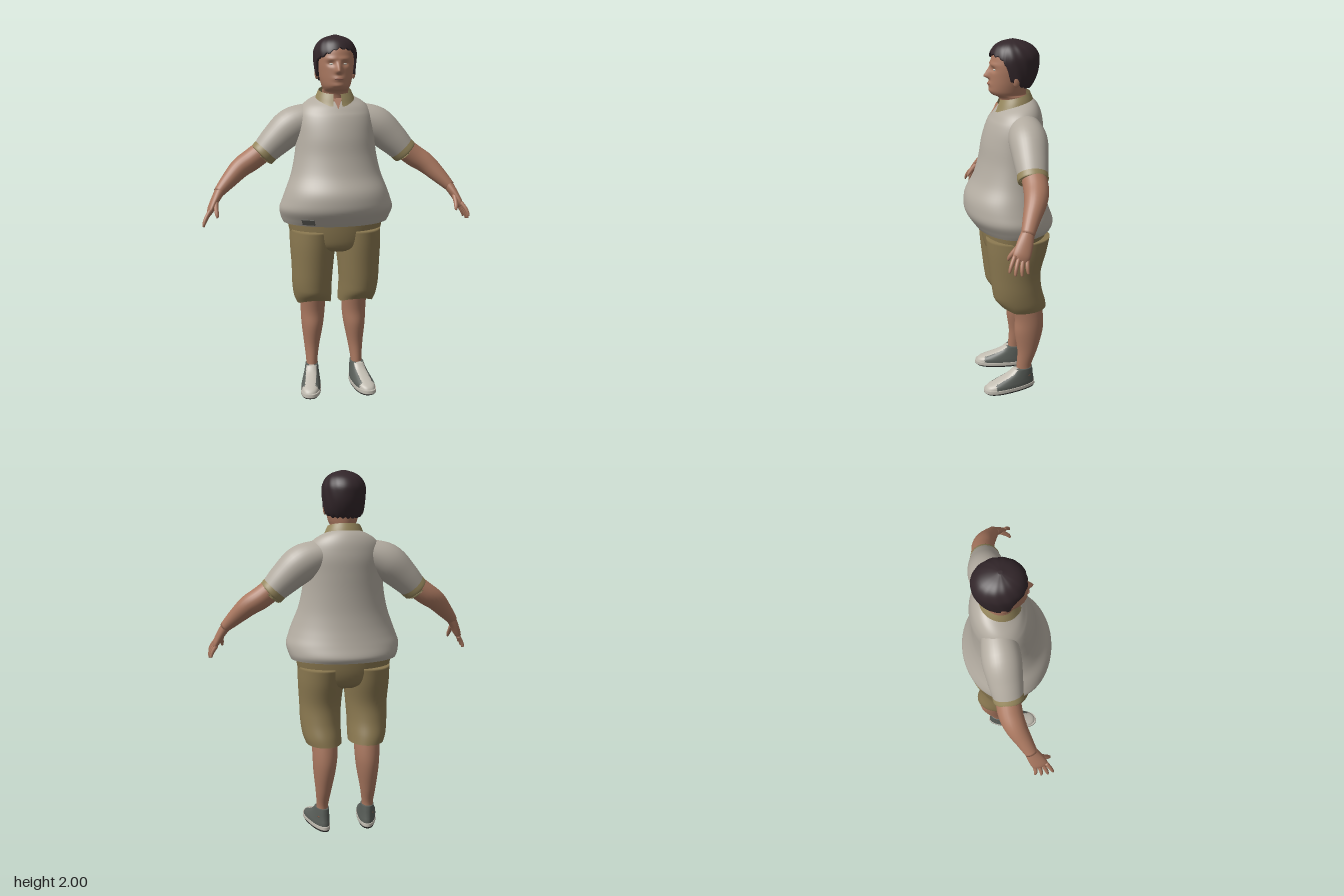
import * as THREE from 'three';

const material = (name, color, side = THREE.FrontSide) => {
  const m = new THREE.MeshStandardMaterial({ color, side });
  m.name = name;
  return m;
};

// Smooth interpolation through rows of numbers, u in 0..1
function sample(rows, u) {
  const f = Math.min(Math.max(u, 0), 1) * (rows.length - 1);
  const i = Math.min(Math.floor(f), rows.length - 2), t = f - i;
  const row = (k) => rows[Math.min(Math.max(k, 0), rows.length - 1)];
  return rows[i].map((b, k) => {
    const a = row(i - 1)[k], c = row(i + 1)[k], d = row(i + 2)[k];
    return b + 0.5 * t * (c - a + t * (2 * a - 5 * b + 4 * c - d + t * (3 * (b - c) + d - a)));
  });
}

// Joins rings of points (bottom to top, or along a path) into one smooth surface
function skin(rings, { closed = true, capStart = true, capEnd = true } = {}) {
  const n = rings[0].length, pos = [], index = [];
  rings.forEach((r) => r.forEach((p) => pos.push(p.x, p.y, p.z)));
  for (let i = 0; i < rings.length - 1; i++) {
    for (let j = 0; j < (closed ? n : n - 1); j++) {
      const a = i * n + j, b = i * n + (j + 1) % n;
      index.push(a, b, a + n, b, b + n, a + n);
    }
  }
  const cap = (ring, start, flip) => {
    const c = ring.reduce((s, p) => s.add(p), new THREE.Vector3()).divideScalar(n);
    const k = pos.length / 3;
    pos.push(c.x, c.y, c.z);
    for (let j = 0; j < n; j++) {
      const a = start + j, b = start + (j + 1) % n;
      index.push(...(flip ? [k, b, a] : [k, a, b]));
    }
  };
  if (closed && capStart) cap(rings[0], 0, true);
  if (closed && capEnd) cap(rings[rings.length - 1], (rings.length - 1) * n, false);
  const g = new THREE.BufferGeometry();
  g.setAttribute('position', new THREE.Float32BufferAttribute(pos, 3));
  g.setIndex(index);
  g.computeVertexNormals();
  return g;
}

// Level rings; rows are [y, centre x, half width, front z, back z]
function level(rows, o = {}) {
  const { segs = 48, steps = 5, pow = 1, gap = 0, warp } = o;
  const n = (rows.length - 1) * steps, rings = [];
  const bend = (v) => Math.sign(v) * Math.abs(v) ** pow;
  for (let i = 0; i <= n; i++) {
    const [y, cx, rx, zf, zb] = sample(rows, i / n), ring = [];
    for (let j = 0; j < segs; j++) {
      const a = gap ? gap + (2 * Math.PI - 2 * gap) * j / (segs - 1) : 2 * Math.PI * j / segs;
      const p = new THREE.Vector3(cx + rx * bend(Math.sin(a)), y, (zf + zb) / 2 + (zf - zb) / 2 * bend(Math.cos(a)));
      if (warp) warp(p);
      ring.push(p);
    }
    rings.push(ring);
  }
  return skin(rings, { closed: !gap, ...o });
}

// Limb along a path; rows are [x, y, z, radius across, radius towards z]
function limb(rows, o = {}) {
  const { segs = 24, steps = 5 } = o, n = (rows.length - 1) * steps, rings = [];
  const at = (u) => new THREE.Vector3(...sample(rows, u).slice(0, 3));
  for (let i = 0; i <= n; i++) {
    const u = i / n, row = sample(rows, u), c = at(u);
    const T = at(Math.min(u + 0.02, 1)).sub(at(Math.max(u - 0.02, 0))).normalize();
    const B = T.clone().cross(new THREE.Vector3(0, 0, 1)).normalize(), N = B.clone().cross(T);
    rings.push(Array.from({ length: segs }, (_, j) => {
      const a = 2 * Math.PI * j / segs;
      return c.clone().addScaledVector(B, row[3] * Math.sin(a)).addScaledVector(N, row[4] * Math.cos(a));
    }));
  }
  return skin(rings, o);
}

function mirrored(g) {
  const m = g.clone().scale(-1, 1, 1), ix = m.index.array;
  for (let i = 0; i < ix.length; i += 3) [ix[i], ix[i + 1]] = [ix[i + 1], ix[i]];
  return m;
}

// Splits faces into two material groups by a test on the face centre
function splitFaces(g, test) {
  const p = g.attributes.position, ix = g.index.array, sets = [[], []];
  for (let i = 0; i < ix.length; i += 3) {
    const f = [ix[i], ix[i + 1], ix[i + 2]];
    const mid = (get) => f.reduce((s, k) => s + p[get](k), 0) / 3;
    sets[test(mid('getX'), mid('getY'), mid('getZ')) ? 1 : 0].push(...f);
  }
  g.setIndex(sets.flat());
  g.addGroup(0, sets[0].length, 0);
  g.addGroup(sets[0].length, sets[1].length, 1);
  return g;
}

const bump = (v, centre, width) => Math.exp(-(((v - centre) / width) ** 2));

// Nose, eye sockets, brows and lips pushed out of the face
function faceWarp(p) {
  if (p.z < 0.04 || p.y < 1.73) return;
  const up = p.y - 1.812, ax = Math.abs(p.x);
  const nose = Math.max(0, up > 0 ? 1 - up / 0.055 : 1 + up / 0.018);
  p.z += 0.033 * nose * bump(p.x, 0, 0.015) - 0.011 * bump(ax, 0.037, 0.02) * bump(p.y, 1.85, 0.013)
    + 0.005 * bump(p.y, 1.876, 0.01) * bump(ax, 0.035, 0.03) + 0.008 * bump(p.y, 1.772, 0.013) * bump(p.x, 0, 0.028)
    + 0.004 * bump(p.y, 1.737, 0.012) * bump(p.x, 0, 0.03);
}

// Hair shell with a hairline that drops from the fringe to the nape
function hairGeometry() {
  const rows = [[1.73, 0.08, 0.06, -0.105], [1.78, 0.105, 0.09, -0.138], [1.83, 0.113, 0.1, -0.158], [1.88, 0.117, 0.105, -0.165],
    [1.92, 0.114, 0.1, -0.162], [1.96, 0.094, 0.078, -0.135], [1.985, 0.06, 0.042, -0.09], [2.0, 0.01, -0.015, -0.035]];
  const line = [[0, 1.93], [0.6, 1.91], [0.95, 1.893], [1.15, 1.865], [1.3, 1.795], [1.6, 1.775], [2.2, 1.757], [3.2, 1.752]];
  const rowAt = (y) => {
    let lo = 0, hi = 1;
    for (let k = 0; k < 24; k++) { const m = (lo + hi) / 2; if (sample(rows, m)[0] < y) lo = m; else hi = m; }
    return sample(rows, lo);
  };
  const edge = (a) => {
    const b = Math.abs(a), k = Math.max(1, line.findIndex((l) => l[0] >= b)), [p, q] = [line[k - 1], line[k]];
    const fringe = b < 1 ? 0.016 * Math.sin(a * 1.5) : 0;
    return p[1] + (q[1] - p[1]) * (b - p[0]) / (q[0] - p[0]) + fringe + 0.005 * Math.sin(a * 19);
  };
  const N = 26, segs = 96, rings = [];
  for (let i = -1; i <= N; i++) {
    const t = Math.max(i, 0) / N, s = i < 0 ? 0.84 : 1;
    rings.push(Array.from({ length: segs }, (_, j) => {
      const a = 2 * Math.PI * j / segs - Math.PI, e = edge(a), y = e + (2 - e) * (1 - (1 - t) ** 2);
      const [, rx, zf, zb] = rowAt(y), tuft = 1 + 0.012 * Math.sin(a * 14 + y * 40);
      return new THREE.Vector3(rx * s * tuft * Math.sin(a), y, (zf + zb) / 2 + (zf - zb) / 2 * s * Math.cos(a));
    }));
  }
  return skin(rings, { capStart: false });
}

export function createModel() {
  const model = new THREE.Group();
  model.name = 'standingMan';
  const D = THREE.DoubleSide;
  const skinMat = material('skin', 0xaa7860), hairMat = material('hair', 0x32262a, D), shirtMat = material('shirt', 0xb2aba0, D);
  const tanMat = material('tanTrim', 0x95865c, D), shortsMat = material('shorts', 0x8a7850, D), shoeMat = material('shoeGrey', 0x5a5f5a);
  const whiteMat = material('shoeWhite', 0xc2bdb2), darkMat = material('outsole', 0x2c2c2c), lipMat = material('lips', 0x8f5f50);
  const tagMat = material('hemTag', 0x5c5b56);
  const add = (name, g, m) => {
    const mesh = new THREE.Mesh(g, m);
    mesh.name = name;
    model.add(mesh);
    return mesh;
  };
  const pair = (name, g, m) => { add(name + 'Left', g, m); add(name + 'Right', mirrored(g), m); };

  // Head and neck
  add('head', level([[1.6, 0, 0.075, 0.04, -0.11], [1.68, 0, 0.07, 0.045, -0.105], [1.705, 0, 0.071, 0.06, -0.1],
    [1.715, 0, 0.07, 0.086, -0.095], [1.735, 0, 0.078, 0.1, -0.097], [1.77, 0, 0.087, 0.101, -0.102], [1.81, 0, 0.094, 0.1, -0.115],
    [1.85, 0, 0.1, 0.098, -0.13], [1.89, 0, 0.103, 0.092, -0.14], [1.93, 0, 0.098, 0.078, -0.14], [1.965, 0, 0.072, 0.04, -0.11],
    [1.985, 0, 0.025, -0.01, -0.06]], { segs: 120, steps: 7, warp: faceWarp }), skinMat);
  add('hair', hairGeometry(), hairMat);
  pair('ear', new THREE.SphereGeometry(1, 16, 12).scale(0.012, 0.034, 0.02).translate(0.1, 1.8, -0.025), skinMat);
  pair('eye', new THREE.SphereGeometry(1, 16, 10).scale(0.013, 0.0045, 0.004).rotateY(0.35).translate(0.037, 1.849, 0.08), whiteMat);
  add('mouth', new THREE.SphereGeometry(1, 16, 10).scale(0.024, 0.006, 0.006).translate(0, 1.771, 0.105), lipMat);

  // Polo shirt: body, sleeves, cuffs, collar, neck opening and hem tag
  const slope = (p) => { p.y -= 0.24 * (p.z + 0.03) * Math.min(1, Math.max(0, (p.y - 1.58) / 0.08)); };
  add('shirtBody', level([[0.99, 0, 0.293, 0.185, -0.232], [1.02, 0, 0.305, 0.207, -0.243], [1.07, 0, 0.315, 0.238, -0.226],
    [1.12, 0, 0.3, 0.245, -0.21], [1.18, 0, 0.278, 0.235, -0.195], [1.26, 0, 0.248, 0.192, -0.183], [1.36, 0, 0.226, 0.162, -0.18],
    [1.46, 0, 0.215, 0.145, -0.183], [1.54, 0, 0.21, 0.122, -0.185], [1.6, 0, 0.195, 0.095, -0.176], [1.64, 0, 0.16, 0.075, -0.155],
    [1.67, 0, 0.1, 0.05, -0.125]], { segs: 64, capStart: false, capEnd: false, warp: slope }), shirtMat);
  pair('sleeve', limb([[0.12, 1.56, -0.06, 0.08, 0.085], [0.23, 1.515, -0.06, 0.1, 0.1], [0.32, 1.44, -0.055, 0.088, 0.09],
    [0.395, 1.365, -0.05, 0.071, 0.076]], { capStart: false, capEnd: false, segs: 36 }), shirtMat);
  pair('cuff', limb([[0.378, 1.382, -0.051, 0.075, 0.079], [0.402, 1.358, -0.05, 0.073, 0.078], [0.403, 1.357, -0.05, 0.06, 0.062]],
    { capStart: false, capEnd: false, segs: 36 }), tanMat);
  add('collar', level([[1.645, 0, 0.114, 0.075, -0.138], [1.68, 0, 0.101, 0.06, -0.126], [1.707, 0, 0.088, 0.047, -0.115]],
    { gap: 0.22, warp: slope }), tanMat);
  const vee = new THREE.BufferGeometry();
  vee.setAttribute('position', new THREE.Float32BufferAttribute([-0.024, 1.668, 0.058, 0, 1.612, 0.092, 0.024, 1.668, 0.058], 3));
  vee.computeVertexNormals();
  add('neckOpening', vee, skinMat);
  const tag = add('hemTag', new THREE.BoxGeometry(0.07, 0.034, 0.008), tagMat);
  tag.rotation.set(0.5, -0.45, 0, 'YXZ');
  tag.position.set(-0.175, 1.018, 0.17);

  // Shorts
  add('shortsSeat', level([[0.83, 0, 0.14, 0.09, -0.12], [0.86, 0, 0.225, 0.13, -0.17], [0.93, 0, 0.255, 0.147, -0.2],
    [1.04, 0, 0.275, 0.155, -0.215]]), shortsMat);
  pair('shortsLeg', level([[0.515, 0.12, 0.099, 0.075, -0.192], [0.56, 0.128, 0.107, 0.1, -0.185], [0.64, 0.133, 0.112, 0.115, -0.163],
    [0.74, 0.131, 0.117, 0.127, -0.157], [0.86, 0.128, 0.127, 0.14, -0.188], [0.95, 0.125, 0.13, 0.145, -0.207]],
    { capStart: false, warp: (p) => { if (p.y < 0.6) p.y += 0.1 * Math.max(0, p.z) * (0.6 - p.y) / 0.08 * 4; } }), shortsMat);

  // Arms and hands
  pair('arm', limb([[0.34, 1.42, -0.052, 0.06, 0.062], [0.45, 1.338, -0.053, 0.061, 0.064], [0.52, 1.292, -0.037, 0.056, 0.058],
    [0.585, 1.23, -0.003, 0.044, 0.045], [0.645, 1.168, 0.03, 0.029, 0.033]]), skinMat);
  pair('palm', limb([[0.636, 1.178, 0.026, 0.028, 0.033], [0.665, 1.13, 0.047, 0.023, 0.041], [0.688, 1.085, 0.066, 0.019, 0.044],
    [0.698, 1.06, 0.076, 0.011, 0.038]]), skinMat);
  [-0.033, -0.011, 0.011, 0.033].forEach((k, i) => {
    const [x, y, z] = [0.692, 1.075 + 0.35 * k, 0.07 + 0.92 * k], len = [0.82, 1, 1.03, 0.92][i];
    const path = [[0, 0, 0, 0.011], [0.02, -0.03, 0.012, 0.0105], [0.032, -0.055, 0.018, 0.009], [0.038, -0.078, 0.02, 0.006]];
    pair('finger' + (i + 1), limb(path.map(([a, b, c, r]) => [x + a * len, y + b * len, z + (c + k * -b * 7) * len, r, r]),
      { segs: 12, steps: 3 }), skinMat);
  });
  pair('thumb', limb([[0.66, 1.125, 0.07, 0.013, 0.016], [0.66, 1.09, 0.103, 0.012, 0.013], [0.657, 1.065, 0.122, 0.01, 0.01],
    [0.655, 1.05, 0.128, 0.005, 0.005]], { segs: 12, steps: 3 }), skinMat);

  // Lower legs
  pair('lowerLeg', level([[0.08, 0.132, 0.035, -0.02, -0.115], [0.14, 0.131, 0.032, -0.025, -0.11], [0.24, 0.128, 0.044, -0.03, -0.145],
    [0.36, 0.123, 0.062, -0.014, -0.176], [0.46, 0.12, 0.07, -0.015, -0.178], [0.62, 0.12, 0.075, 0.02, -0.15]]), skinMat);

  // Shoes, toes turned out
  const widen = (p) => { p.x *= 1 + 1.2 * p.z; };
  const turnOut = (g) => g.rotateY(0.18).translate(0.143, 0, 0);
  const shoe = (rows) => level(rows, { pow: 0.85, steps: 4, segs: 56, warp: widen });
  pair('outsole', turnOut(shoe([[0, 0, 0.05, 0.165, -0.13], [0.01, 0, 0.053, 0.174, -0.134]])), darkMat);
  pair('soleBand', turnOut(shoe([[0.009, 0, 0.054, 0.176, -0.135], [0.03, 0, 0.054, 0.174, -0.134]])), whiteMat);
  const upper = splitFaces(shoe([[0.025, 0, 0.052, 0.168, -0.13], [0.045, 0, 0.052, 0.155, -0.129], [0.063, 0, 0.049, 0.115, -0.126],
    [0.085, 0, 0.045, 0.06, -0.123], [0.105, 0, 0.042, 0.02, -0.121], [0.13, 0, 0.039, -0.008, -0.118]]),
  (x, y, z) => z > 0.115 || (z > -0.03 && Math.abs(x) < 0.03));
  pair('shoeUpper', turnOut(upper), [shoeMat, whiteMat]);

  return model;
}
